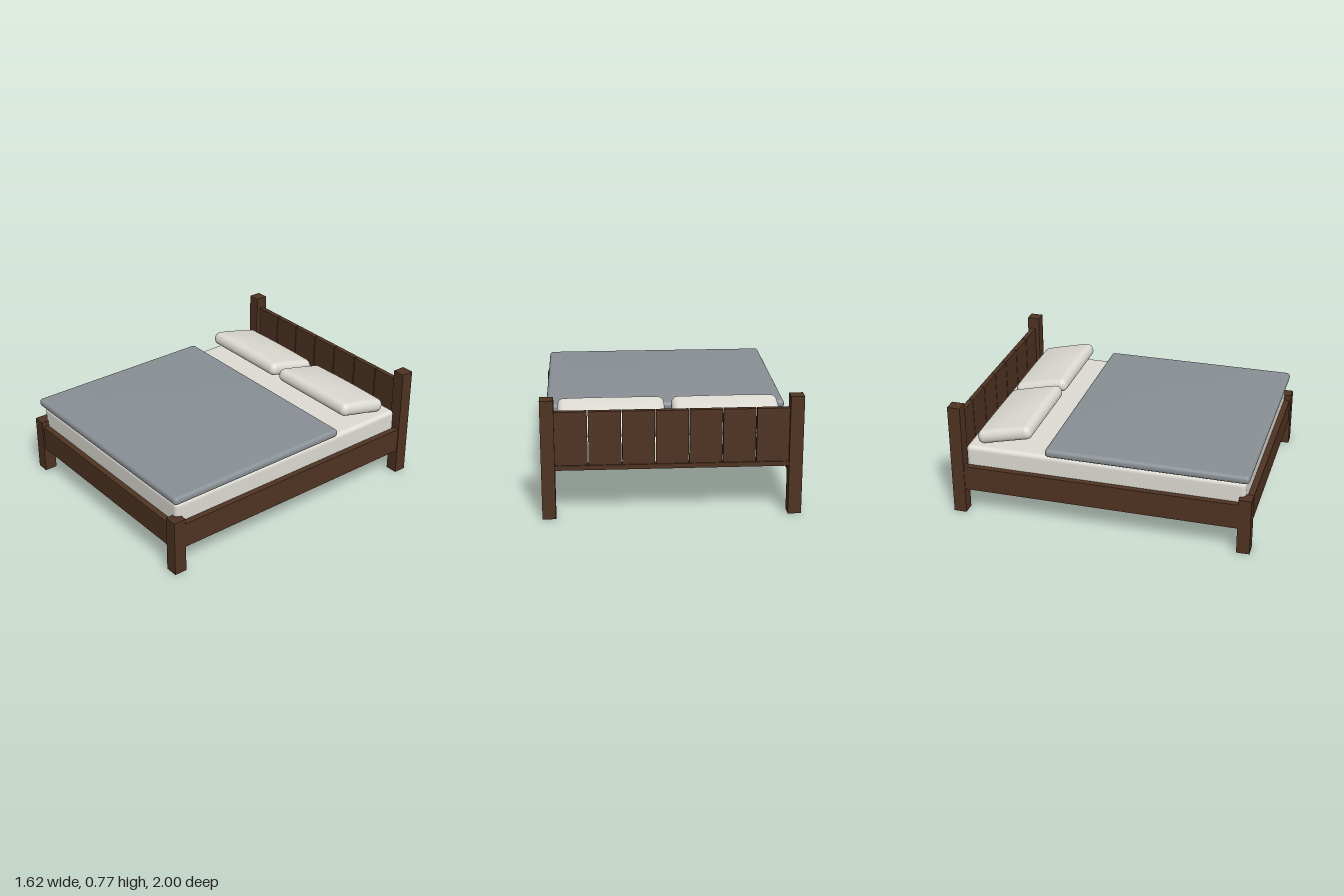
import * as THREE from 'three';
import { mergeVertices } from 'three/addons/utils/BufferGeometryUtils.js';

const mat = (name, color) => {
  const m = new THREE.MeshStandardMaterial({ color });
  m.name = name;
  return m;
};

// Rounded cushion: box grid with dense corners, rounded by radius r, top raised by dome
function softBox(w, h, d, r, dome = 0) {
  const n = 18, k = 5;
  const geo = new THREE.BoxGeometry(1, 1, 1, n, n, n);
  geo.deleteAttribute('uv');
  geo.deleteAttribute('normal');
  const place = (t, size) => {
    const i = Math.round((t + 0.5) * n);
    if (i <= k) return -size / 2 + (r * i) / k;
    if (i >= n - k) return size / 2 - (r * (n - i)) / k;
    return -size / 2 + r + ((size - 2 * r) * (i - k)) / (n - 2 * k);
  };
  const half = new THREE.Vector3(w / 2 - r, h / 2 - r, d / 2 - r);
  const low = half.clone().negate();
  const p = new THREE.Vector3(), core = new THREE.Vector3();
  const pos = geo.attributes.position;
  for (let i = 0; i < pos.count; i++) {
    p.set(place(pos.getX(i), w), place(pos.getY(i), h), place(pos.getZ(i), d));
    core.copy(p).clamp(low, half);
    p.sub(core).setLength(r).add(core);
    if (p.y > 0) {
      const lift = (1 - (2 * p.x / w) ** 2) * (1 - (2 * p.z / d) ** 2);
      p.y += dome * Math.max(0, lift) * Math.min(1, p.y / (h / 2));
    }
    pos.setXYZ(i, p.x, p.y, p.z);
  }
  const out = mergeVertices(geo, 1e-5);
  out.computeVertexNormals();
  return out;
}

export function createModel() {
  const bed = new THREE.Group();
  bed.name = 'bed';
  const wood = mat('dark wood', 0x503422);
  const linen = mat('off-white linen', 0xdedcd4);
  const wool = mat('grey blanket', 0x899095);

  const add = (name, geo, material, x, y, z) => {
    const m = new THREE.Mesh(geo, material);
    m.name = name;
    m.position.set(x, y, z);
    bed.add(m);
    return m;
  };
  // Plank given by its minimum and maximum corners
  const plank = (name, x0, x1, y0, y1, z0, z1) =>
    add(name, new THREE.BoxGeometry(x1 - x0, y1 - y0, z1 - z0), wood,
      (x0 + x1) / 2, (y0 + y1) / 2, (z0 + z1) / 2);

  // Posts and side rails, mirrored
  for (const [side, s] of [['left', 1], ['right', -1]]) {
    const c = s * 0.7675;
    plank(side + 'FrontPost', c - 0.0425, c + 0.0425, 0, 0.385, 0.915, 1);
    plank(side + 'BackPost', c - 0.0425, c + 0.0425, 0, 0.77, -1, -0.915);
    const r = s * 0.785;
    plank(side + 'SideRail', r - 0.02, r + 0.02, 0.175, 0.345, -0.915, 0.915);
  }
  plank('footRail', -0.725, 0.725, 0.175, 0.345, 0.95, 0.99);

  // Headboard: seven planks standing on a narrow rail
  plank('headRail', -0.725, 0.725, 0.315, 0.345, -0.985, -0.935);
  const pitch = 1.456 / 7;
  for (let i = 0; i < 7; i++) {
    const x = (i - 3) * pitch;
    plank('headboardPlank' + (i + 1), x - pitch / 2 + 0.003, x + pitch / 2 - 0.003,
      0.345, 0.69, -0.977, -0.943);
  }

  // Bedding
  add('mattress', softBox(1.53, 0.19, 1.86, 0.03), linen, 0, 0.385, 0.02);
  add('blanket', softBox(1.58, 0.056, 1.335, 0.024, 0.015), wool, 0, 0.513, 0.3075);
  for (const [side, s] of [['left', 1], ['right', -1]]) {
    const pillow = add(side + 'Pillow', softBox(0.69, 0.092, 0.382, 0.042, 0.02), linen,
      s * 0.3675, 0.552, -0.665);
    pillow.rotation.x = -0.235;
  }
  return bed;
}
